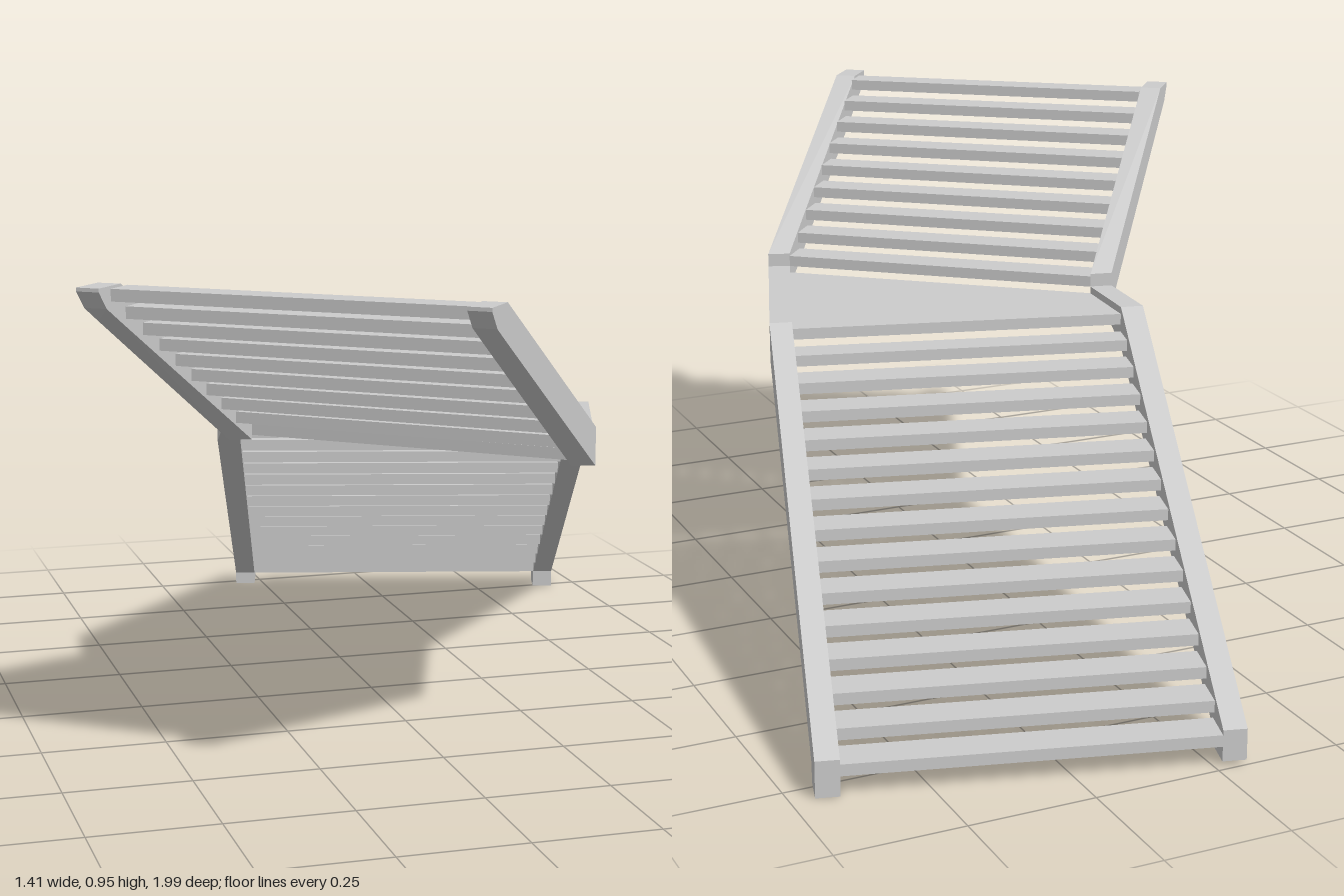
import * as THREE from 'three';

const material = new THREE.MeshStandardMaterial({ color: 0xcccccc, flatShading: true });
const lerp = (p, q, t) => [p[0] + (q[0] - p[0]) * t, p[1] + (q[1] - p[1]) * t];

// Solid through upright sections; a is the +x plan point [x, z], b the -x one
function loft(name, sections) {
  const rings = sections.map(({ a, b, top, bot }) => [
    [a[0], top, a[1]], [b[0], top, b[1]], [b[0], bot, b[1]], [a[0], bot, a[1]],
  ]);
  const pos = [];
  const quad = (p, q, r, s) => pos.push(...p, ...q, ...r, ...p, ...r, ...s);
  for (let k = 0; k + 1 < rings.length; k++) {
    for (let i = 0; i < 4; i++) {
      const j = (i + 1) % 4;
      quad(rings[k][i], rings[k][j], rings[k + 1][j], rings[k + 1][i]);
    }
  }
  const first = rings[0], last = rings[rings.length - 1];
  quad(first[3], first[2], first[1], first[0]);
  quad(...last);
  const geometry = new THREE.BufferGeometry();
  geometry.setAttribute('position', new THREE.Float32BufferAttribute(pos, 3));
  geometry.computeVertexNormals();
  const mesh = new THREE.Mesh(geometry, material);
  mesh.name = name;
  return mesh;
}

// Plan corners from the foot, past both ends of the landing, to the top
const LEFT = {
  outer: [[0.704, -0.794], [0.455, 0.083], [0.302, 0.512], [-0.08, 0.99]],
  inner: [[0.66, -0.806], [0.41, 0.072], [0.257, 0.497], [-0.115, 0.962]],
};
const RIGHT = {
  outer: [[-0.058, -1.0], [-0.303, -0.122], [-0.318, 0.05], [-0.704, 0.519]],
  inner: [[-0.014, -0.988], [-0.256, -0.112], [-0.272, 0.06], [-0.668, 0.547]],
};

// Profile rows: [plan segment, position along it, top, bottom]
function stringer(name, a, b, rows) {
  return loft(name, rows.map(([s, t, top, bot]) => ({
    a: lerp(a[s], a[s + 1], t), b: lerp(b[s], b[s + 1], t), top, bot,
  })));
}

const lowerRows = (foot, bend) => [
  [0, 0, 0.072, foot], [0, 0.07, 0.11, foot], [0, 0.07, 0.11, 0.037], // foot block
  [0, 1, 0.615, 0.533], [1, bend, 0.615, 0.567], [1, 1, 0.615, 0.567],
];
const upperRows = [
  [2, 0, 0.643, 0.567], [2, 0.87, 0.95, 0.879],
  [2, 0.955, 0.95, 0.91], [2, 1, 0.95, 0.943],
];

const STEP = 0.0384, THICK = 0.023;

// Open treads between the inner faces of the stringers
function flight(name, segment, count, end, firstTop) {
  const group = new THREE.Group();
  group.name = name;
  const at = (t, top) => ({
    a: lerp(LEFT.inner[segment], LEFT.inner[segment + 1], t),
    b: lerp(RIGHT.inner[segment], RIGHT.inner[segment + 1], t),
    top, bot: top - THICK,
  });
  for (let i = 0; i < count; i++) {
    const y = firstTop + i * STEP;
    const t1 = Math.min(1, (i + 1.15) / count);
    group.add(loft('tread', [at((i / count) * end, y), at(t1 * end, y)]));
  }
  return group;
}

export function createModel() {
  const model = new THREE.Group();
  model.name = 'staircase';

  // Side stringers
  model.add(
    stringer('leftLowerStringer', LEFT.outer, LEFT.inner, lowerRows(0, 0.14)),
    stringer('rightLowerStringer', RIGHT.inner, RIGHT.outer, lowerRows(0.01, 0.35)),
    stringer('leftUpperStringer', LEFT.outer, LEFT.inner, upperRows),
    stringer('rightUpperStringer', RIGHT.inner, RIGHT.outer, upperRows),
  );

  // Flights of treads
  model.add(flight('lowerFlight', 0, 14, 1, 0.0625));
  model.add(flight('upperFlight', 2, 9, 0.93, 0.6375));

  // Landing between the flights
  const y = { top: 0.6, bot: 0.6 - THICK };
  model.add(loft('landing', [1, 2].map((i) => ({ a: LEFT.inner[i], b: RIGHT.inner[i], ...y }))));

  return model;
}
